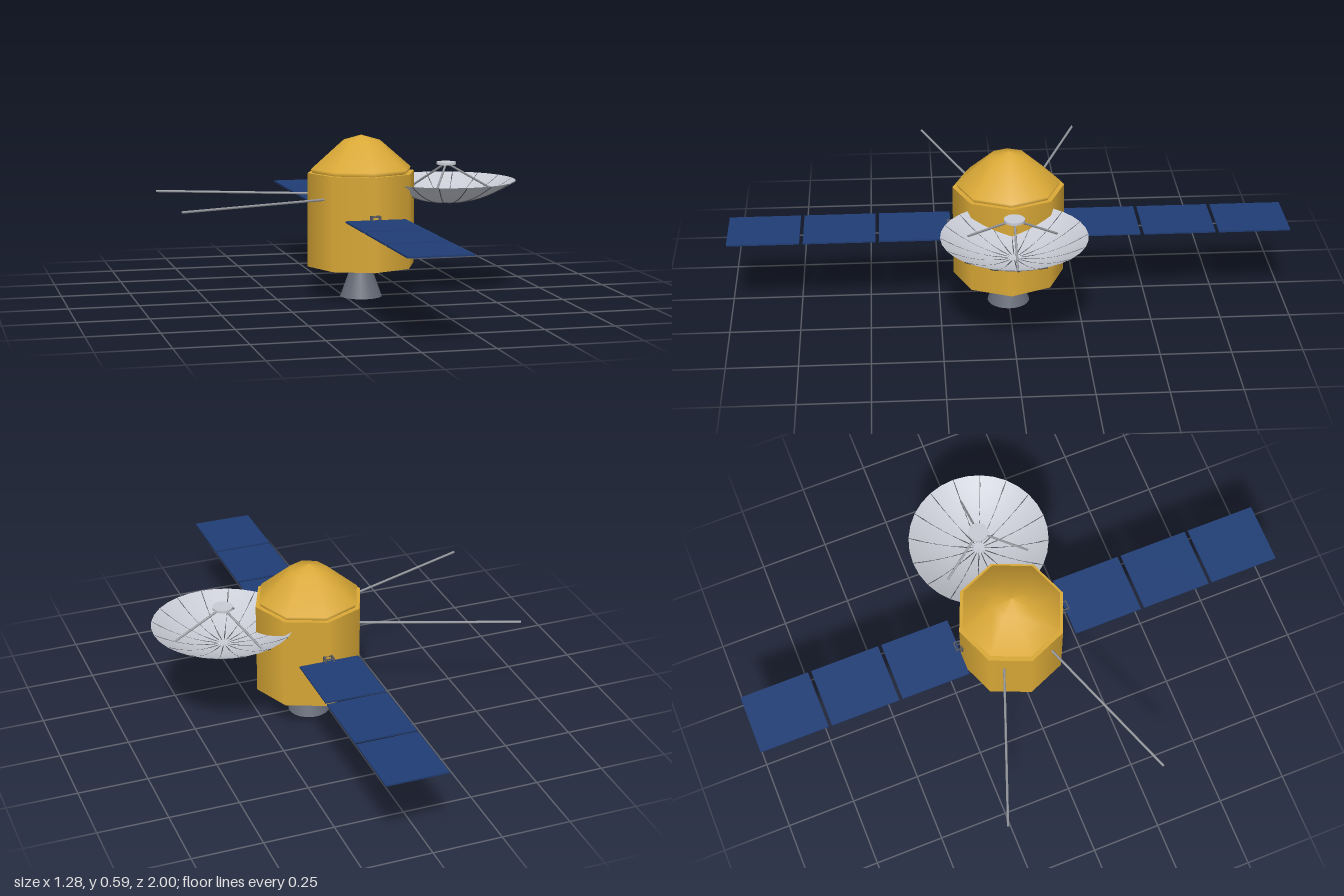
import * as THREE from 'three';

const mat = (name, color, side = THREE.FrontSide) => {
  const m = new THREE.MeshStandardMaterial({ color, side });
  m.name = name;
  return m;
};

export function createModel() {
  const gold = mat('gold foil', 0xd9a836);
  const blue = mat('solar blue', 0x1f3d75);
  const pale = mat('dish grey', 0xc8cbd4, THREE.DoubleSide);
  const steel = mat('engine grey', 0x666c78, THREE.DoubleSide);
  const metal = mat('boom grey', 0x94979c);
  const dark = mat('rib grey', 0x55585f);

  const model = new THREE.Group();
  model.name = 'spaceProbe';
  const V = (x, y, z) => new THREE.Vector3(x, y, z);

  const add = (name, geo, material, parent, x = 0, y = 0, z = 0) => {
    const mesh = new THREE.Mesh(geo, material);
    mesh.name = name;
    mesh.position.set(x, y, z);
    parent.add(mesh);
    return mesh;
  };
  // round bar between two points
  const rod = (name, a, b, r, material, parent) => {
    const mesh = add(name, new THREE.CylinderGeometry(r, r, a.distanceTo(b), 8), material, parent);
    mesh.position.copy(a).lerp(b, 0.5);
    mesh.quaternion.setFromUnitVectors(V(0, 1, 0), b.clone().sub(a).normalize());
  };
  const lathe = (pts, n) => new THREE.LatheGeometry(pts.map(p => new THREE.Vector2(...p)), n);

  // eight-sided body with a blunt cap
  const bodyX = 0.062;
  add('body', new THREE.CylinderGeometry(0.199, 0.199, 0.34, 8), gold, model, bodyX, 0.286, 0);
  add('cap', lathe([[0.18, 0.455], [0.186, 0.47], [0.07, 0.57], [0, 0.59]], 8), gold, model, bodyX);

  // open engine bell
  add('engineBell', new THREE.CylinderGeometry(0.033, 0.076, 0.12, 24, 1, true), steel, model, bodyX, 0.06, 0);

  // dish antenna
  const dish = new THREE.Group();
  dish.name = 'dishAntenna';
  dish.position.set(0.383, 0.335, 0);
  model.add(dish);
  const R = 0.254, depth = 0.082;
  const bowlY = r => depth * (r / R) ** 2;
  const profile = [];
  for (let i = 0; i <= 8; i++) profile.push([R * i / 8, bowlY(R * i / 8)]);
  add('dishBowl', lathe(profile, 32), pale, dish);
  for (let i = 0; i < 16; i++) {
    const a = i * Math.PI / 8;
    const path = new THREE.CatmullRomCurve3([0.02, 0.1, 0.18, R].map(
      r => V(r * Math.cos(a), bowlY(r) - 0.0015, r * Math.sin(a))));
    add('dishRib', new THREE.TubeGeometry(path, 8, 0.002, 5), dark, dish);
  }
  // feed on a tripod
  for (let i = 0; i < 3; i++) {
    const a = i * Math.PI * 2 / 3, c = Math.cos(a), s = Math.sin(a);
    rod('feedStrut', V(0.18 * c, bowlY(0.18), 0.18 * s), V(0.008 * c, 0.139, 0.008 * s), 0.004, metal, dish);
  }
  add('feedDisc', new THREE.CylinderGeometry(0.036, 0.036, 0.009, 20), pale, dish, 0, 0.143, 0);

  for (const s of [1, -1]) {
    // whip boom
    rod('boom', V(-0.08, 0.37, s * 0.085), V(-0.64, 0.37, s * 0.293), 0.0045, metal, model);

    // solar wing of three panels
    const wing = new THREE.Group();
    wing.name = 'solarWing';
    wing.position.set(bodyX, 0.304, 0);
    model.add(wing);
    for (let i = 0; i < 3; i++)
      add('solarPanel', new THREE.BoxGeometry(0.22, 0.006, 0.256), blue, wing, 0, 0, s * (0.335 + i * 0.2685));

    // cage hinge between wing and body
    const h = 0.015, zc = s * 0.207, zh = 0.011, t = 0.0045;
    for (const p of [-1, 1]) for (const q of [-1, 1]) {
      add('hingeBar', new THREE.BoxGeometry(2 * h + t, t, t), dark, wing, 0, p * h, zc + q * zh);
      add('hingeBar', new THREE.BoxGeometry(t, 2 * h + t, t), dark, wing, p * h, 0, zc + q * zh);
      add('hingeBar', new THREE.BoxGeometry(t, t, 2 * zh + t), dark, wing, p * h, q * h, zc);
    }
  }
  return model;
}
